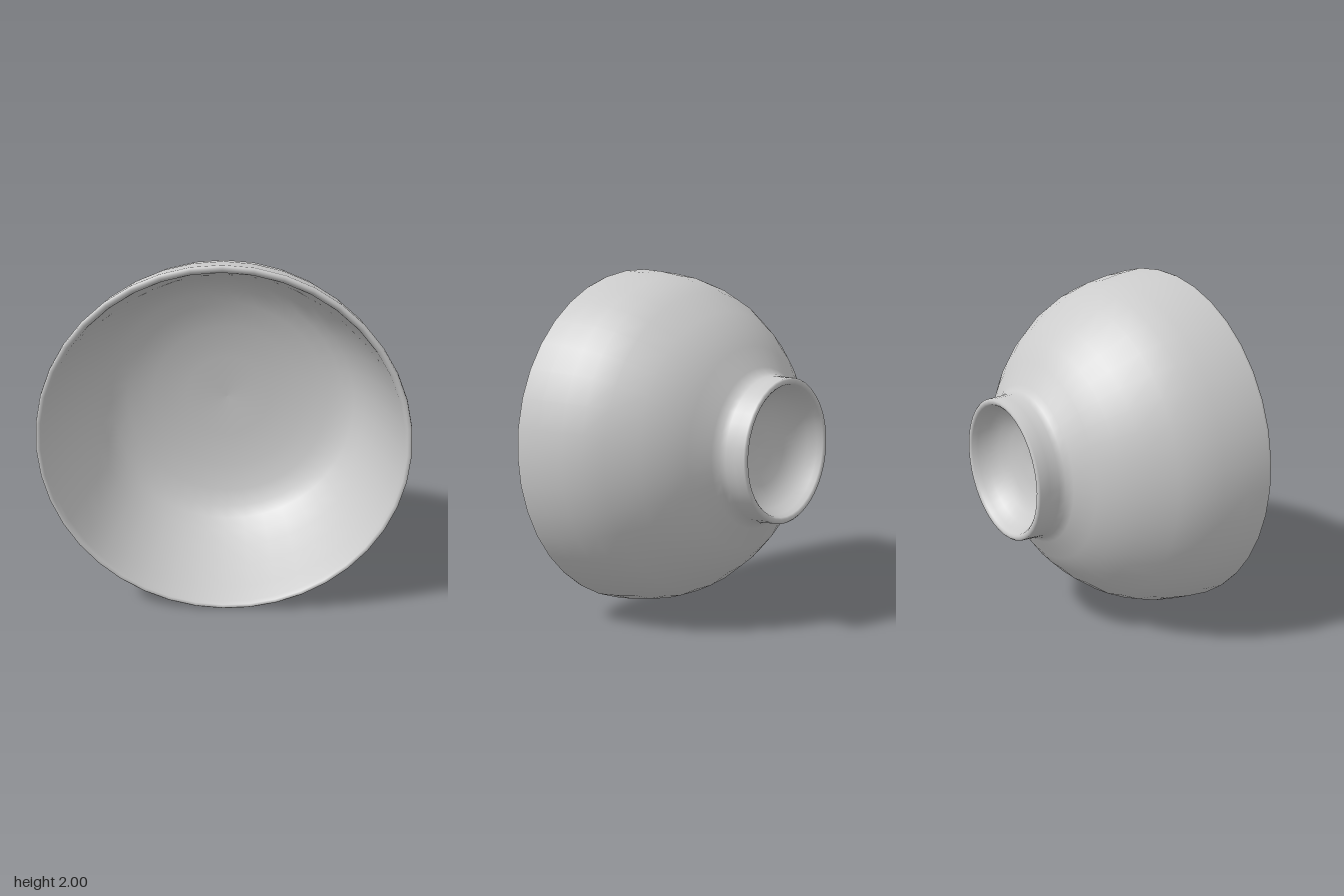
import * as THREE from 'three';

// Footed bowl lying on its side: axis along z, mouth towards +z.
export function createModel() {
  const group = new THREE.Group();
  group.name = 'bowl';
  const material = new THREE.MeshStandardMaterial({ color: 0xcccccc });

  // [radius, position along the axis], from the foot recess round the rim to the inner floor
  const profile = [
    // hollow under the foot
    [0, -0.335], [0.12, -0.34], [0.21, -0.36], [0.28, -0.395], [0.325, -0.445], [0.35, -0.495],
    // foot ring
    [0.362, -0.525], [0.372, -0.534], [0.388, -0.534], [0.397, -0.525],
    [0.4, -0.47], [0.404, -0.415], [0.417, -0.385], [0.447, -0.355],
    // outer wall
    [0.56, -0.29], [0.655, -0.22], [0.748, -0.13], [0.857, 0.01], [0.914, 0.12],
    [0.953, 0.23], [0.982, 0.37], [0.998, 0.5],
    // rim
    [0.995, 0.517], [0.985, 0.524], [0.972, 0.518], [0.96, 0.5],
    // steep inner wall
    [0.938, 0.4], [0.898, 0.25], [0.85, 0.11], [0.8, 0.005], [0.75, -0.07],
    // shallow inner floor
    [0.69, -0.12], [0.6, -0.162], [0.45, -0.203], [0.25, -0.23], [0, -0.24],
  ].map(([r, h]) => new THREE.Vector2(r, h));

  const geometry = new THREE.LatheGeometry(profile, 40);
  geometry.rotateX(Math.PI / 2);

  // Hand-made irregularity: slightly oval, tilted mouth, foot a little off centre
  const pos = geometry.attributes.position;
  for (let i = 0; i < pos.count; i++) {
    const x = pos.getX(i), y = pos.getY(i), z = pos.getZ(i);
    pos.setXYZ(i,
      x * 0.988 + 0.008 * (0.1 - z),
      y + 1 + 0.01 * (0.5 - z),
      z + 0.01 * x + 0.013 * y * (z + 0.53));
  }

  const bowl = new THREE.Mesh(geometry, material);
  bowl.name = 'bowlBody';
  group.add(bowl);
  return group;
}
